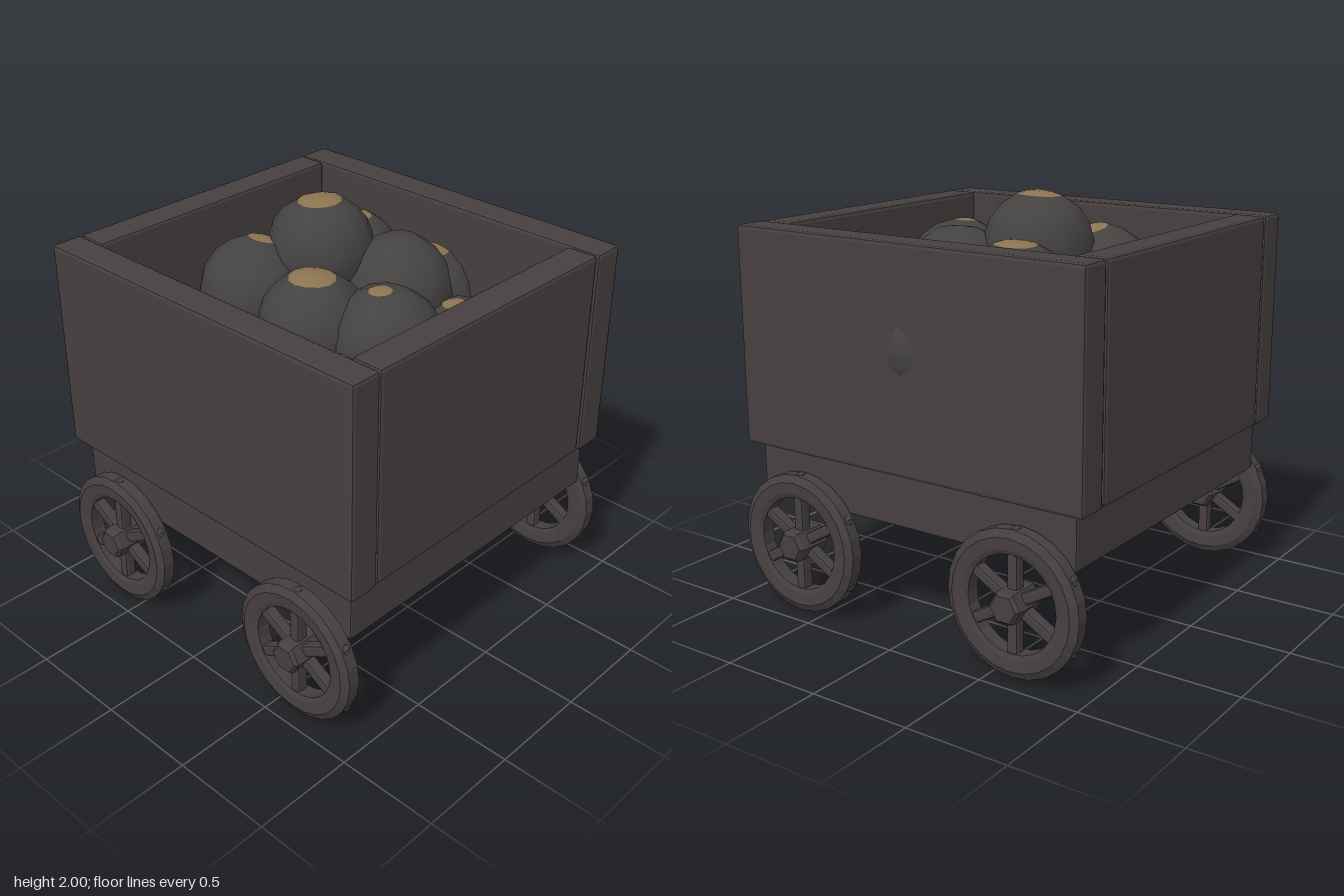
import * as THREE from 'three';
import { RoundedBoxGeometry } from 'three/addons/geometries/RoundedBoxGeometry.js';

function material(name, color, flatShading = false) {
  const m = new THREE.MeshStandardMaterial({ color, flatShading });
  m.name = name;
  return m;
}

export function createModel() {
  const model = new THREE.Group();
  model.name = 'oreCart';
  const iron = material('dark iron', 0x463f3f, true);
  const stone = material('dark stone', 0x454242);
  const gold = material('dull gold', 0x8c7450);

  function add(parent, name, geometry, mat, x = 0, y = 0, z = 0) {
    const mesh = new THREE.Mesh(geometry, mat);
    mesh.name = name;
    mesh.position.set(x, y, z);
    parent.add(mesh);
    return mesh;
  }

  // Bevelled box given by its min and max corners
  function slab(name, [x0, y0, z0], [x1, y1, z1], bevel = 0.018) {
    const g = new RoundedBoxGeometry(x1 - x0, y1 - y0, z1 - z0, 1, bevel);
    add(model, name, g, iron, (x0 + x1) / 2, (y0 + y1) / 2, (z0 + z1) / 2);
  }

  // Chassis and four walls
  slab('chassis', [-0.845, 0.53, -0.89], [0.845, 0.805, 0.89], 0.012);
  slab('leftWall', [0.735, 0.79, -0.95], [0.9, 1.84, 0.945]);
  slab('rightWall', [-0.9, 0.79, -0.95], [-0.74, 1.84, 0.945]);
  slab('frontWall', [-0.735, 0.795, 0.78], [0.73, 1.84, 0.94]);
  slab('backWall', [-0.735, 0.795, -0.95], [0.73, 1.84, -0.79]);

  // Wheel parts turn about y, then the wheel is laid onto the x axis
  const lathe = (points, sides) =>
    new THREE.LatheGeometry(points.map(([r, y]) => new THREE.Vector2(r, y)), sides);
  const rimGeometry = lathe([[0.228, -0.035], [0.25, -0.045], [0.305, -0.05], [0.34, -0.03],
    [0.34, 0.03], [0.305, 0.05], [0.25, 0.045], [0.228, 0.035], [0.228, -0.035]], 24);
  const hubGeometry = lathe([[0, -0.097], [0.065, -0.097], [0.08, -0.08],
    [0.08, 0.08], [0.065, 0.097], [0, 0.097]], 6);
  const spokeGeometry = new RoundedBoxGeometry(0.2, 0.06, 0.055, 1, 0.014);
  const studGeometry = new THREE.SphereGeometry(0.03, 8, 6);

  function wheel(name, x, z) {
    const g = new THREE.Group();
    g.name = name;
    add(g, 'rim', rimGeometry, iron);
    add(g, 'hub', hubGeometry, iron);
    for (let i = 0; i < 6; i++) {
      const arm = new THREE.Group();
      arm.name = 'spokeArm';
      arm.rotation.y = i * Math.PI / 3;
      add(arm, 'spoke', spokeGeometry, iron, 0.15);
      add(arm, 'rimStud', studGeometry, iron, 0.32);
      g.add(arm);
    }
    g.rotation.z = Math.PI / 2;
    g.position.set(x, 0.35, z);
    model.add(g);
  }
  for (const s of [1, -1]) {
    const side = s > 0 ? 'Left' : 'Right';
    wheel('front' + side + 'Wheel', s * 0.889, 0.615);
    wheel('back' + side + 'Wheel', s * 0.889, -0.615);
  }

  // Gives a sphere a gently uneven radius
  function roughen(geometry, seed) {
    const p = geometry.attributes.position;
    const v = new THREE.Vector3();
    for (let i = 0; i < p.count; i++) {
      v.fromBufferAttribute(p, i);
      const n = v.clone().normalize();
      v.multiplyScalar(1 + 0.02 * Math.sin(5 * n.x + seed) * Math.cos(4 * n.z + 2 * seed));
      p.setXYZ(i, v.x, v.y, v.z);
    }
    return geometry;
  }

  // Round rocks: x, y, z, radius, cap radius, cap offset in x and z
  const rocks = [
    [0.095, 1.74, -0.19, 0.26, 0.105, 0, -0.01],
    [-0.26, 1.56, 0.1, 0.26, 0.11, 0, 0],
    [0.29, 1.56, 0.12, 0.275, 0, 0, 0],
    [-0.11, 1.53, 0.41, 0.265, 0.055, -0.03, -0.01],
    [0.39, 1.55, -0.27, 0.26, 0.1, 0, 0],
    [-0.19, 1.56, -0.36, 0.265, 0.07, 0.06, 0.01],
    [0.06, 1.35, -0.63, 0.285, 0.075, 0.01, 0.08],
    [-0.5, 1.33, -0.09, 0.25, 0.07, 0.05, -0.01],
    [0.66, 1.36, -0.01, 0.265, 0.1, 0.02, 0.01],
    [-0.46, 1.31, 0.41, 0.27, 0.1, -0.01, -0.02],
    [0.36, 1.33, 0.45, 0.25, 0.055, -0.03, -0.01],
  ];
  const up = new THREE.Vector3(0, 1, 0);
  rocks.forEach(([x, y, z, r, cap, ox, oz], i) => {
    const rock = new THREE.Group();
    rock.name = 'rock';
    const a = Math.asin(cap / r);
    add(rock, 'rockBody', roughen(new THREE.SphereGeometry(r, 12, 8, 0, Math.PI * 2, a, Math.PI - a), i), stone);
    if (cap) add(rock, 'goldPatch', roughen(new THREE.SphereGeometry(r, 12, 2, 0, Math.PI * 2, 0, a), i), gold);
    const dir = new THREE.Vector3(ox, Math.sqrt(r * r - ox * ox - oz * oz), oz).normalize();
    rock.quaternion.setFromUnitVectors(up, dir);
    rock.position.set(x, y, z);
    model.add(rock);
  });

  // Gold flakes lying on the cart floor
  for (const [x, z, r] of [[0.69, 0.66, 0.06], [-0.71, 0.66, 0.06], [-0.18, -0.76, 0.04], [0.665, -0.67, 0.02]]) {
    add(model, 'floorFlake', new THREE.CylinderGeometry(r, r, 0.008, 7), gold, x, 0.808, z);
  }

  // Gold chip showing below the front and side walls
  add(model, 'lowerChip', new THREE.BoxGeometry(0.06, 0.03, 0.008), gold, 0.28, 0.785, 0.891);
  add(model, 'lowerChip', new THREE.BoxGeometry(0.008, 0.02, 0.06), gold, 0.846, 0.79, 0.58);
  return model;
}
